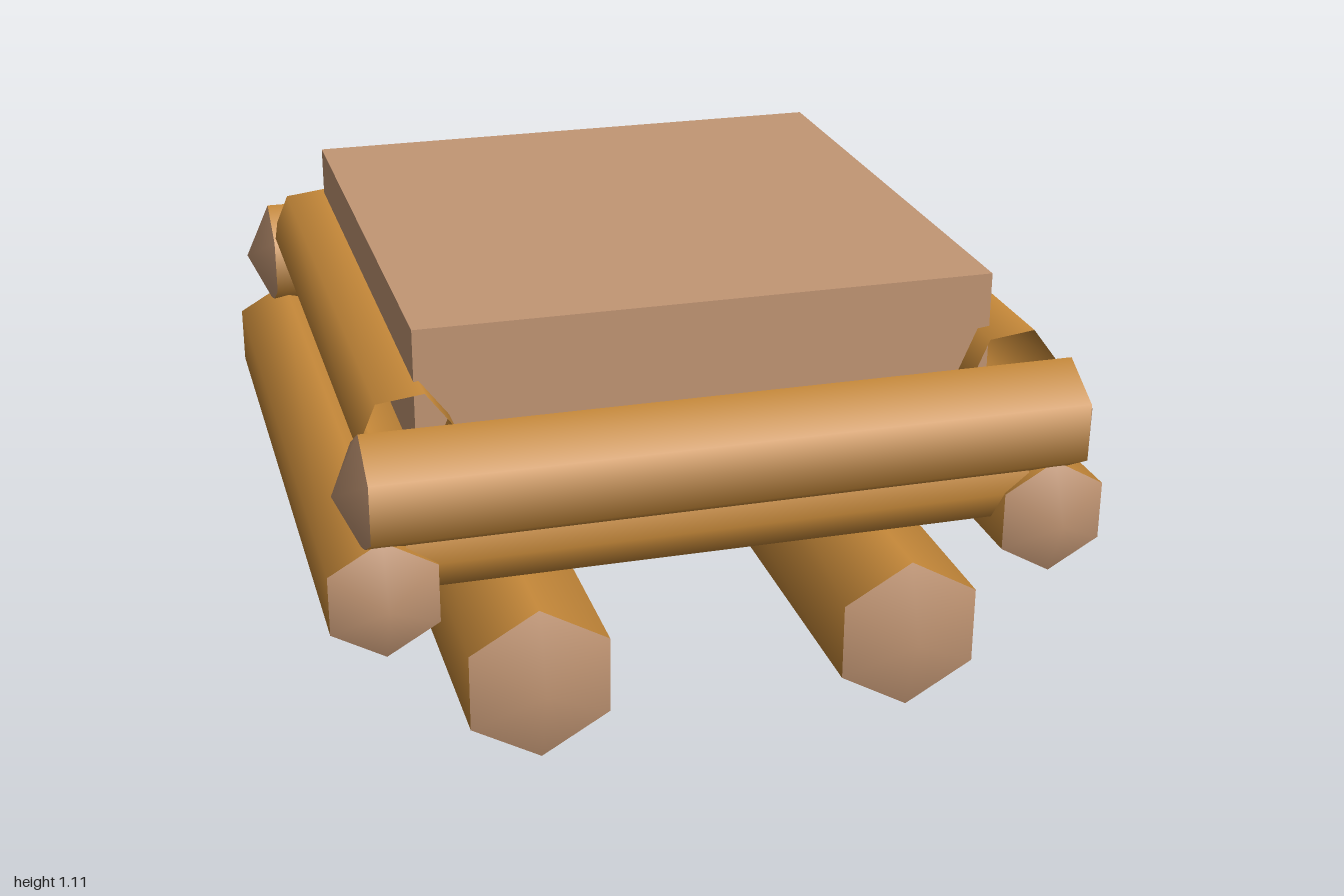
import * as THREE from 'three';
import { mergeVertices } from 'three/addons/utils/BufferGeometryUtils.js';

export function createModel() {
  const model = new THREE.Group();
  const bark = new THREE.MeshStandardMaterial({ color: 0xc88a3a, side: THREE.DoubleSide });
  bark.name = 'bark brown';
  const wood = new THREE.MeshStandardMaterial({ color: 0xc29674, side: THREE.DoubleSide });
  wood.name = 'cut wood tan';

  // Six-sided log lying along z (or x), with optional pointed cut ends
  function addLog(name, { radius, half, tip = 0, roll = 0, alongX = false, at }) {
    const log = new THREE.Group();
    log.name = name;
    const side = new THREE.CylinderGeometry(radius, radius, half * 2, 6, 1, true, roll);
    side.rotateX(Math.PI / 2);
    const body = new THREE.Mesh(side, bark);
    body.name = name + 'Bark';
    log.add(body);
    if (tip > 0) {
      for (const s of [1, -1]) {
        let cone = new THREE.ConeGeometry(radius, tip, 6, 1, true);
        cone.deleteAttribute('normal');
        cone.deleteAttribute('uv');
        cone = mergeVertices(cone);
        cone.computeVertexNormals();
        cone.rotateX(s * Math.PI / 2);
        const cap = new THREE.Mesh(cone, wood);
        cap.name = name + 'CutEnd';
        cap.position.z = s * (half + tip / 2);
        log.add(cap);
      }
    }
    if (alongX) log.rotation.y = Math.PI / 2;
    log.position.set(...at);
    model.add(log);
  }

  const tilt = Math.PI / 6 + 0.12;
  for (const s of [1, -1]) {
    const big = { half: 0.905, tip: 0.07 };
    const thin = { radius: 0.12, half: 0.805 };
    // Capped logs, stacked from the ground up
    addLog('groundLog', { ...big, radius: 0.207, at: [s * 0.488, 0.21, 0] });
    addLog('sideLog', { ...big, radius: 0.155, at: [s * 0.866, 0.5, 0] });
    addLog('crossLog', { ...big, radius: 0.152, alongX: true, at: [0, 0.77, s * 0.866] });
    // Thin open-ended rails around the block
    addLog('sideRail', { ...thin, roll: tilt, at: [s * 0.78, 0.87, 0] });
    addLog('crossRail', { ...thin, roll: tilt, alongX: true, at: [0, 0.59, s * 0.78] });
  }

  // Central block, hollow and open underneath
  const height = 0.53;
  const block = new THREE.BoxGeometry(1.485, height, 1.495);
  const index = Array.from(block.index.array);
  index.splice(18, 6); // drop the bottom face
  block.setIndex(index);
  block.clearGroups();
  const platform = new THREE.Mesh(block, wood);
  platform.name = 'platform';
  platform.position.set(-0.003, 1.112 - height / 2, -0.024);
  model.add(platform);

  return model;
}
